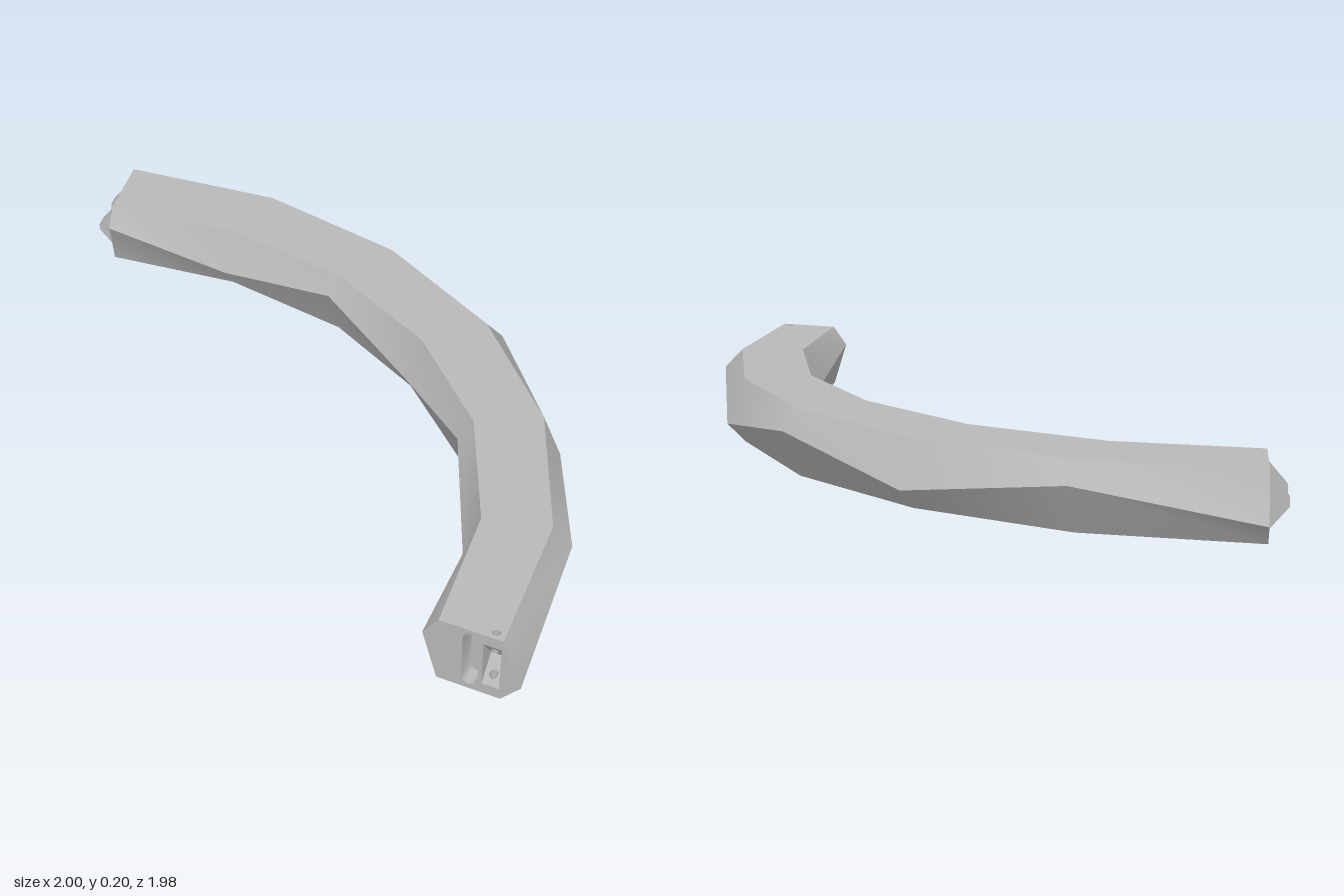
import * as THREE from 'three';
import { toCreasedNormals } from 'three/addons/utils/BufferGeometryUtils.js';

const H = 0.2, MID = 0.1, HOLE = 0.012;
const V2 = (x, y) => new THREE.Vector2(x, y);
const V3 = (x, y, z) => new THREE.Vector3(x, y, z);

// Cross-section lines in plan, from inner to outer ridge: [xIn, zIn, xOut, zOut]
const PLAN = [
  [-0.91, -0.64, -0.955, -0.995],
  [-0.49, -0.635, -0.42, -0.98],
  [-0.08, -0.505, 0.08, -0.8],
  [0.275, -0.25, 0.51, -0.48],
  [0.54, 0.09, 0.82, -0.05],
  [0.69, 0.51, 0.99, 0.46],
  [0.71, 0.95, 0.998, 0.988],
];

function surface(rows, crease = 0.6) {
  const pos = [];
  const add = (...ps) => ps.forEach((p) => pos.push(p.x, p.y, p.z));
  for (let i = 0; i < rows.length - 1; i++) {
    for (let j = 0; j < rows[i].length - 1; j++) {
      const a = rows[i][j], b = rows[i + 1][j], c = rows[i][j + 1], d = rows[i + 1][j + 1];
      add(a, b, c);
      add(c, b, d);
    }
  }
  const g = new THREE.BufferGeometry();
  g.setAttribute('position', new THREE.Float32BufferAttribute(pos, 3));
  g.computeVertexNormals();
  return toCreasedNormals(g, crease);
}

function circle(x, y, r = HOLE) {
  return new THREE.Path().absarc(x, y, r, 0, Math.PI * 2, true);
}

function flat(points, holes = []) {
  const s = new THREE.Shape(points);
  s.holes.push(...holes);
  return new THREE.ShapeGeometry(s, 10);
}

// Upright slot with round ends
function slotPoints(u, half = 0.025, y0 = 0.015, y1 = 0.188) {
  const pts = [];
  for (let k = 0; k <= 16; k++) {
    const a = (k % 17) * Math.PI / 8;
    const top = k <= 8;
    pts.push(V2(u + half * Math.cos(a), (top ? y1 - half : y0 + half) + half * Math.sin(a)));
  }
  return pts;
}

export function createModel() {
  const model = new THREE.Group();
  model.name = 'curvedRail';
  const grey = new THREE.MeshStandardMaterial({ color: 0xb8b8b8, side: THREE.DoubleSide });
  grey.name = 'grey';
  const add = (parent, name, geo) => {
    const m = new THREE.Mesh(geo, grey);
    m.name = name;
    parent.add(m);
    return m;
  };

  // Six points of each section; ridge heights alternate along the curve
  const sections = PLAN.map(([xi, zi, xo, zo], i) => {
    const inner = V3(xi, 0, zi), outer = V3(xo, 0, zo);
    const dir = outer.clone().sub(inner).normalize();
    const at = (p, d, y) => p.clone().addScaledVector(dir, d).setY(y);
    return {
      inMid: at(inner, 0, i % 2 ? 0.06 : 0.14), outMid: at(outer, 0, i % 2 ? 0.14 : 0.06),
      inTop: at(inner, 0.046, H), inLow: at(inner, 0.046, 0),
      outTop: at(outer, -0.057, H), outLow: at(outer, -0.057, 0),
    };
  });

  // Faceted side walls
  add(model, 'outerWall', surface(sections.map((s) => [s.outTop, s.outMid, s.outLow])));
  add(model, 'innerWall', surface(sections.map((s) => [s.inLow, s.inMid, s.inTop])));

  // Frames for the two ends: local x across, y up, z outward
  const endFrame = (name, origin, far) => {
    const g = new THREE.Group();
    g.name = name;
    const u = far.clone().sub(origin).setY(0);
    g.userData.width = u.length();
    u.normalize();
    const up = V3(0, 1, 0);
    g.matrix.makeBasis(u, up, u.clone().cross(up)).setPosition(origin.x, 0, origin.z);
    g.matrix.decompose(g.position, g.quaternion, g.scale);
    model.add(g);
    return g;
  };
  const first = sections[0], last = sections[6];
  const tabEnd = endFrame('tabEnd', first.outMid, first.inMid);
  const socketEnd = endFrame('socketEnd', last.inMid, last.outMid);

  // Flat top and bottom, pierced by the pin hole
  const pin = V3(0.203, 0, -0.024).applyMatrix4(socketEnd.matrix);
  for (const [name, sign, y] of [['topFace', -1, H], ['bottomFace', 1, 0]]) {
    const outline = [...sections.map((s) => s.outTop), ...sections.map((s) => s.inTop).reverse()];
    const geo = flat(outline.map((p) => V2(p.x, sign * p.z)), [circle(pin.x, sign * pin.z)]);
    geo.rotateX(sign * Math.PI / 2).translate(0, y, 0);
    add(model, name, geo);
  }

  // End plates with a recessed slot
  const endPlate = (end, slotU, a, b, ya, yb, holes = []) => {
    const w = end.userData.width;
    const slot = slotPoints(slotU);
    add(end, 'endPlate', flat([
      V2(0, ya), V2(a, 0), V2(w - b, 0), V2(w, yb), V2(w - b, H), V2(a, H),
    ], [new THREE.Path(slot), ...holes]));
    const ring = [...slot, slot[0]];
    const depth = 0.06;
    add(end, 'slotWall', surface([0, -depth].map((z) => ring.map((p) => V3(p.x, p.y, z)))));
    add(end, 'slotBack', flat(slot).translate(0, 0, -depth));
  };
  endPlate(tabEnd, 0.2, 0.057, 0.046, 0.06, 0.14);

  // Wedge tabs: a plan shape with a hole, tapered to the tip
  for (const u of [0.13, 0.267]) {
    const len = 0.056, half = 0.023;
    const shape = new THREE.Shape([V2(u - half, 0), V2(u + half, 0), V2(u + half, -len), V2(u - half, -len)]);
    shape.holes.push(circle(u, -0.031));
    const geo = new THREE.ExtrudeGeometry(shape, { depth: 1, bevelEnabled: false, curveSegments: 10 });
    geo.rotateX(-Math.PI / 2);
    const p = geo.attributes.position;
    for (let i = 0; i < p.count; i++) {
      const h = 0.076 - 0.066 * p.getZ(i) / len;
      p.setY(i, MID + (p.getY(i) > 0.5 ? h : -h));
    }
    geo.computeVertexNormals();
    add(tabEnd, 'wedgeTab', geo);
  }

  // Matching V-shaped socket with pin holes in both slopes
  const x0 = 0.178, x1 = 0.229, deep = 0.056, rise = 0.068;
  endPlate(socketEnd, 0.142, 0.046, 0.057, 0.14, 0.06, [new THREE.Path([
    V2(x0, MID - rise), V2(x1, MID - rise), V2(x1, MID + rise), V2(x0, MID + rise),
  ])]);
  for (const s of [-1, 1]) {
    const geo = flat([V2(x0, 0), V2(x1, 0), V2(x1, deep), V2(x0, deep)], [circle(0.203, 0.024)]);
    geo.rotateX(-Math.PI / 2);
    const p = geo.attributes.position;
    for (let i = 0; i < p.count; i++) p.setY(i, MID + s * rise * (1 + p.getZ(i) / deep));
    geo.computeVertexNormals();
    add(socketEnd, 'socketSlope', geo);

    const tube = new THREE.CylinderGeometry(HOLE, HOLE, 0.06, 16, 1, true);
    add(socketEnd, 'pinHole', tube).position.set(0.203, MID + s * 0.07, -0.024);

    const cheek = flat([V2(0, MID - rise), V2(0, MID + rise), V2(-deep, MID)]);
    cheek.rotateY(-Math.PI / 2);
    add(socketEnd, 'socketCheek', cheek).position.x = s < 0 ? x0 : x1;
  }
  return model;
}
